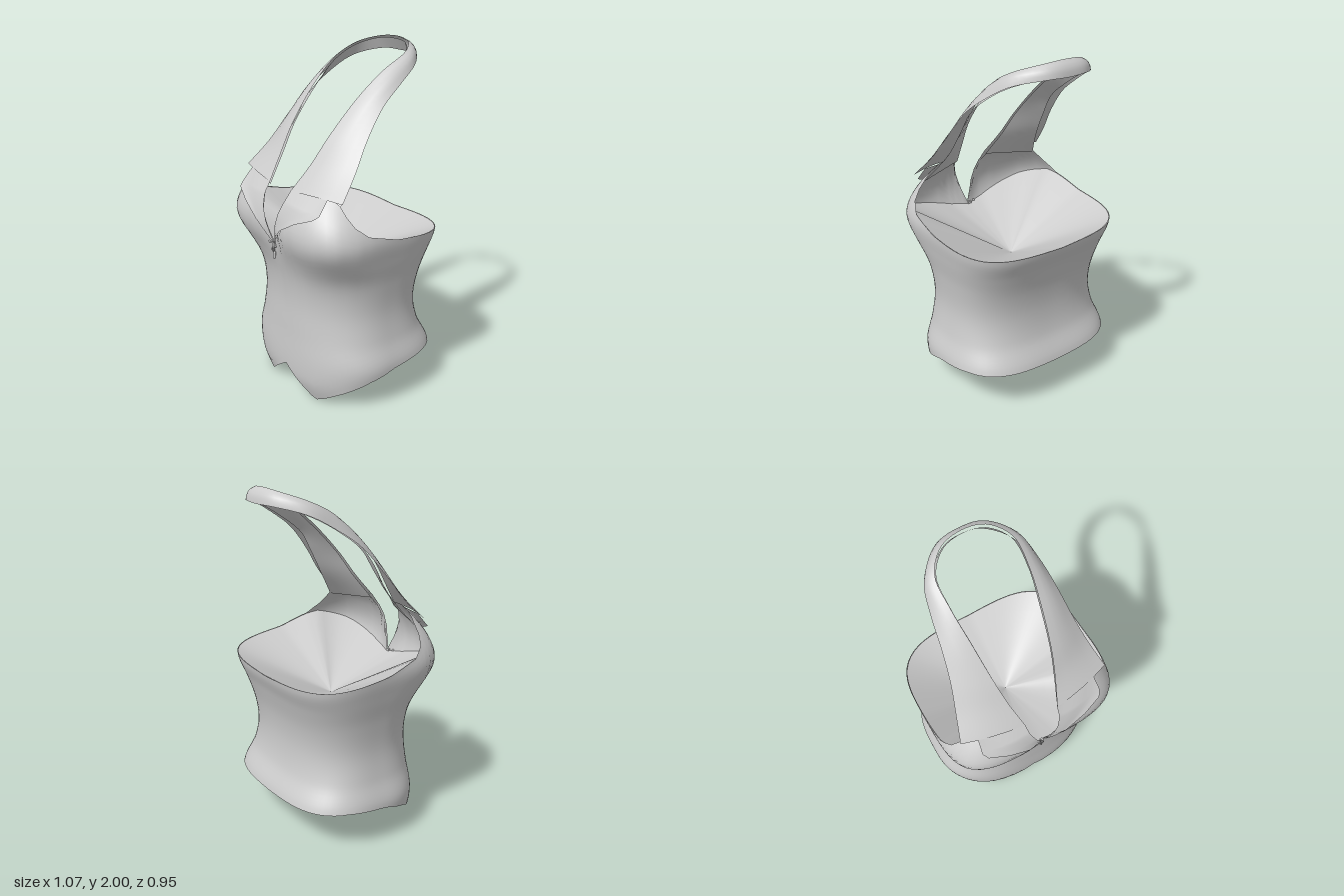
import * as THREE from 'three';

const material = new THREE.MeshStandardMaterial({ color: 0xcccccc, side: THREE.DoubleSide });

// Interpolates a table of [position, value] pairs; smooth uses Hermite slopes
function sample(table, t, smooth = true) {
  const last = table.length - 1;
  if (t <= table[0][0]) return table[0][1];
  if (t >= table[last][0]) return table[last][1];
  let i = 0;
  while (t > table[i + 1][0]) i++;
  const [t0, a] = table[i], [t1, b] = table[i + 1];
  const h = t1 - t0, s = (t - t0) / h;
  if (!smooth) return a + (b - a) * s;
  const slope = (k) => {
    const p = table[Math.max(k - 1, 0)], q = table[Math.min(k + 1, last)];
    return (q[1] - p[1]) / (q[0] - p[0]);
  };
  const s2 = s * s, s3 = s2 * s;
  return a * (2 * s3 - 3 * s2 + 1) + b * (3 * s2 - 2 * s3)
    + h * (slope(i) * (s3 - 2 * s2 + s) + slope(i + 1) * (s3 - s2));
}

// Body profile by height: half width, front depth, back depth, squareness of front and back
const WIDTH = [[0, 0.46], [0.1, 0.5], [0.25, 0.532], [0.4, 0.492], [0.57, 0.47], [0.75, 0.485],
  [0.9, 0.515], [1.03, 0.534], [1.12, 0.51], [1.2, 0.46], [1.27, 0.41], [1.32, 0.38]];
const FRONT = [[0, 0.345], [0.12, 0.378], [0.4, 0.372], [0.6, 0.368], [0.75, 0.385], [0.87, 0.42],
  [0.98, 0.462], [1.08, 0.468], [1.2, 0.425], [1.27, 0.37], [1.32, 0.325]];
const BACK = [[0, 0.45], [0.25, 0.448], [0.4, 0.385], [0.55, 0.362], [0.7, 0.372], [0.85, 0.41], [0.97, 0.45], [1.3, 0.46]];
const SQUARE_FRONT = [[0, 2.6], [0.25, 2.5], [0.6, 2.3], [0.8, 2.6], [1.0, 4.1], [1.1, 4], [1.3, 3.4]];
const SQUARE_BACK = [[0.25, 3.2], [0.55, 2.8], [0.97, 3.5]];

// Edges by angle in degrees: 0 is the front, 180 the back
const HEM = [[0, 0.16], [24, 0.012], [28, 0], [32, 0.018], [44, 0.085], [54, 0.13], [68, 0.185], [90, 0.235], [120, 0.262], [180, 0.25]];
const TOP = [[0, 0.94], [12, 1.2], [20, 1.29], [40, 1.3], [52, 1.24], [60, 1.14], [68, 1.085], [90, 1.03], [135, 0.99], [180, 0.97]];
const LINING_RIM = [[0, 0.93], [12, 0.95], [40, 1.04], [60, 1.09], [68, 1.08], [90, 1.028], [135, 0.988], [180, 0.968]];

const dip = (x, y) => 0.035 * Math.exp(-((x / 0.06) ** 2)) * Math.exp(-(((y - 1.04) / 0.14) ** 2));

function bodyPoint(angle, y) {
  const s = Math.sin(angle), c = Math.cos(angle);
  const n = sample(c > 0 ? SQUARE_FRONT : SQUARE_BACK, y);
  const r = (Math.abs(s) ** n + Math.abs(c) ** n) ** (-1 / n);
  const x = r * s * sample(WIDTH, y);
  return [x, y, c > 0 ? r * c * sample(FRONT, y) - dip(x, y) : r * c * sample(BACK, y)];
}

function frontDepth(x, y) {
  const n = sample(SQUARE_FRONT, y), u = Math.min(Math.abs(x) / sample(WIDTH, y), 1);
  return sample(FRONT, y) * (1 - u ** n) ** (1 / n) - dip(x, y);
}

// Mesh from equal rows of points, optionally closed around
function sheet(name, rows, closed = false) {
  const n = rows[0].length, index = [];
  for (let j = 0; j < rows.length - 1; j++) {
    for (let i = 0; i < (closed ? n : n - 1); i++) {
      const k = (i + 1) % n, a = j * n + i, b = j * n + k;
      index.push(a, b, b + n, a, b + n, a + n);
    }
  }
  const geometry = new THREE.BufferGeometry();
  geometry.setAttribute('position', new THREE.Float32BufferAttribute(rows.flat(2), 3));
  geometry.setIndex(index);
  geometry.computeVertexNormals();
  const mesh = new THREE.Mesh(geometry, material);
  mesh.name = name;
  return mesh;
}

const SEGMENTS = 90;
const ring = (fn) => Array.from({ length: SEGMENTS }, (_, i) => {
  const degrees = (i / SEGMENTS) * 360;
  return fn((i / SEGMENTS) * Math.PI * 2, Math.min(degrees, 360 - degrees));
});

function bodice() {
  const rows = [];
  for (let j = 0; j <= 32; j++) {
    rows.push(ring((angle, d) => {
      const low = sample(HEM, d, false), high = sample(TOP, d, false);
      return bodyPoint(angle, low + (high - low) * (j / 32));
    }));
  }
  return sheet('bodice', rows, true);
}

// Rows leading evenly from one ring of points to another
const blend = (from, to, steps) => Array.from({ length: steps + 1 }, (_, j) =>
  from.map((p, i) => p.map((v, axis) => v + (to[i][axis] - v) * (j / steps))));

// Lining that fans down from the top edge to a centre point
function upperLining() {
  const rim = ring((angle, d) => {
    const [x, y, z] = bodyPoint(angle, sample(LINING_RIM, d, false));
    return [x * 0.994, y, z * 0.994];
  });
  return sheet('upperLining', blend(rim, ring(() => [0, 0.76, 0]), 5), true);
}

// Lining that runs in from the hem to a small ceiling
function lowerLining() {
  const group = new THREE.Group();
  group.name = 'lowerLining';
  const hem = ring((angle, d) => {
    const [x, y, z] = bodyPoint(angle, sample(HEM, d, false));
    return [x * 0.994, y + 0.002, z * 0.994];
  });
  const inner = ring((angle) => {
    const s = Math.sin(angle), c = Math.cos(angle);
    const r = (s ** 4 + c ** 4) ** -0.25;
    return [0.27 * r * s, 0.33, 0.3 * r * c];
  });
  group.add(sheet('hemLining', blend(hem, inner, 5), true));
  group.add(sheet('ceiling', blend(inner, ring(() => [0, 0.4, 0]), 3), true));
  return group;
}

// Band around the neck, from [inner, outer] edge pairs running from one front to the centre back
function neckBand(name, pairs, bulge) {
  const mirrored = pairs.slice(0, -1).reverse().map((pair) => pair.map(([x, y, z]) => [-x, y, z]));
  const all = [...pairs, ...mirrored];
  const edges = [0, 1].map((e) => new THREE.CatmullRomCurve3(all.map((p) => new THREE.Vector3(...p[e]))));
  const rows = [];
  for (let j = 0; j <= 72; j++) {
    const a = edges[0].getPoint(j / 72), b = edges[1].getPoint(j / 72);
    const out = b.clone().sub(a).cross(edges[0].getTangent(j / 72)).normalize();
    rows.push([0, 0.25, 0.5, 0.75, 1].map((k) =>
      a.clone().lerp(b, k).addScaledVector(out, bulge * 4 * k * (1 - k)).toArray()));
  }
  return sheet(name, rows);
}

// Lower lapel lying on the bust, up to the notch
function lapel(side) {
  const pairs = [
    [[0, 0.945, 0.43], [0.01, 0.945, 0.435]],
    [[0.03, 1.02, 0.44], [0.06, 1.01, 0.46]],
    [[0.045, 1.07, 0.44], [0.12, 1.065, 0.475]],
    [[0.07, 1.14, 0.43], [0.24, 1.135, 0.465]],
    [[0.09, 1.2, 0.41], [0.35, 1.18, 0.43]],
    [[0.095, 1.22, 0.4], [0.37, 1.2, 0.4]],
    [[0.1, 1.268, 0.385], [0.36, 1.275, 0.338]],
  ];
  const rows = pairs.map(([a, b]) => [0, 0.2, 0.4, 0.6, 0.8, 1].map((k) => {
    const [x, y, z] = a.map((v, i) => v + (b[i] - v) * k);
    return [x, y, Math.max(z, frontDepth(x, y) + 0.008)];
  }));
  const mesh = sheet(side > 0 ? 'leftLapel' : 'rightLapel', rows);
  mesh.scale.x = side;
  return mesh;
}

function zipperPull() {
  const group = new THREE.Group();
  group.name = 'zipperPull';
  const add = (name, geometry, x, y, z) => {
    const mesh = new THREE.Mesh(geometry, material);
    mesh.name = name;
    mesh.position.set(x, y, z);
    group.add(mesh);
  };
  add('slider', new THREE.BoxGeometry(0.022, 0.03, 0.018), -0.01, 0.93, 0.43);
  add('stop', new THREE.SphereGeometry(0.008, 8, 6), -0.045, 0.94, 0.435);
  add('ring', new THREE.TorusGeometry(0.011, 0.004, 6, 14), -0.01, 0.903, 0.438);
  add('tab', new THREE.CapsuleGeometry(0.009, 0.028, 4, 8), -0.01, 0.868, 0.43);
  return group;
}

export function createModel() {
  const model = new THREE.Group();
  model.name = 'halterVest';
  model.add(bodice(), upperLining(), lowerLining(), lapel(1), lapel(-1));
  model.add(neckBand('collar', [
    [[0.1, 1.265, 0.388], [0.45, 1.27, 0.31]],
    [[0.14, 1.4, 0.285], [0.405, 1.4, 0.19]],
    [[0.17, 1.55, 0.18], [0.365, 1.55, 0.08]],
    [[0.2, 1.74, 0.01], [0.335, 1.7, -0.05]],
    [[0.22, 1.87, -0.15], [0.31, 1.8, -0.19]],
    [[0.215, 1.945, -0.3], [0.265, 1.88, -0.33]],
    [[0.125, 1.985, -0.4], [0.13, 1.918, -0.455]],
    [[0, 1.998, -0.425], [0, 1.918, -0.475]],
  ], 0.015));
  model.add(neckBand('collarFacing', [
    [[0.105, 1.25, 0.38], [0.4, 1.225, 0.285]],
    [[0.145, 1.41, 0.26], [0.32, 1.4, 0.155]],
    [[0.17, 1.55, 0.165], [0.295, 1.55, 0.065]],
    [[0.197, 1.73, 0.0], [0.285, 1.67, -0.01]],
    [[0.217, 1.86, -0.15], [0.275, 1.785, -0.16]],
    [[0.208, 1.935, -0.3], [0.24, 1.87, -0.31]],
    [[0.118, 1.975, -0.392], [0.11, 1.915, -0.43]],
    [[0, 1.985, -0.415], [0, 1.915, -0.455]],
  ], 0));
  model.add(zipperPull());
  return model;
}
